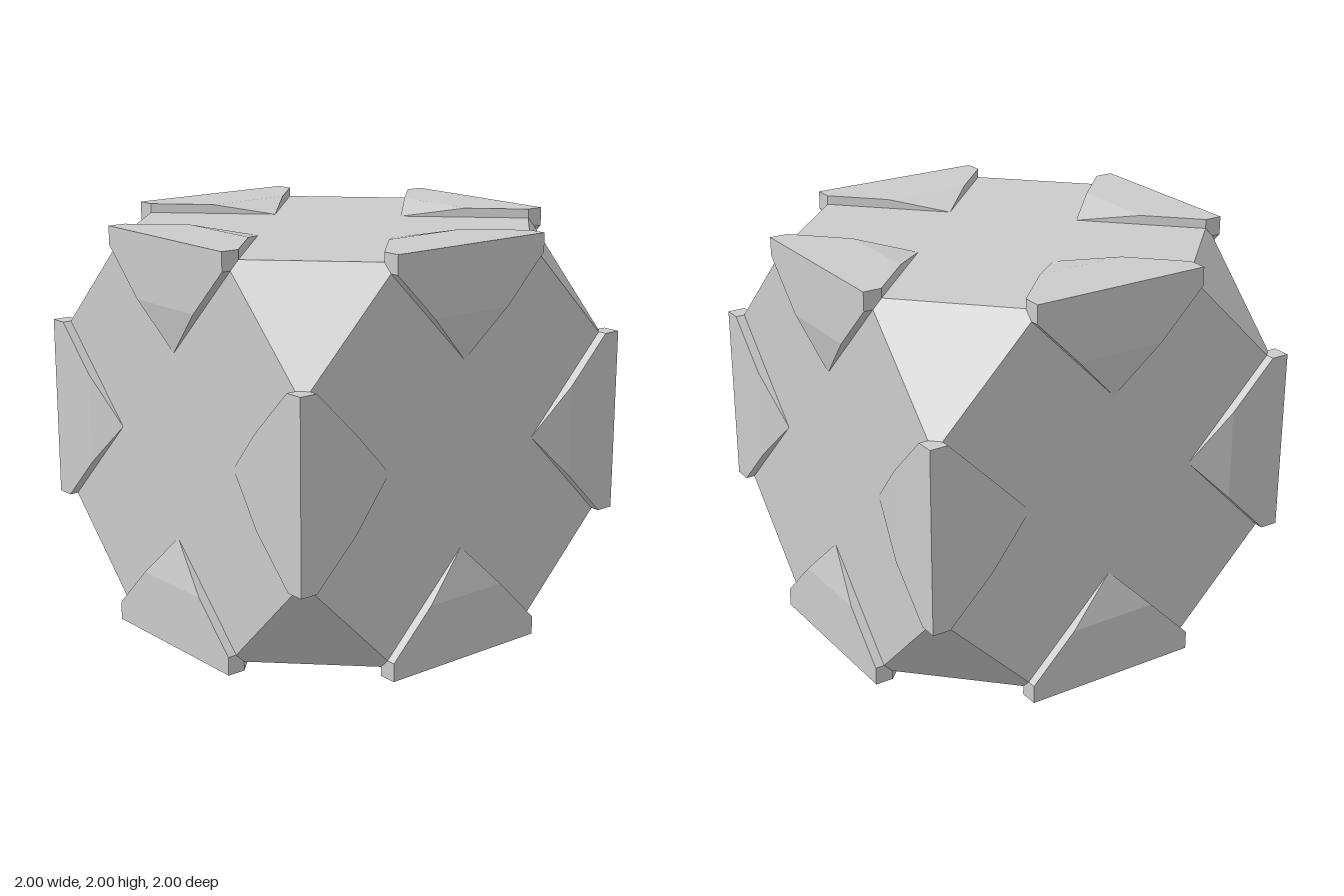
import * as THREE from 'three';
import { ConvexGeometry } from 'three/addons/geometries/ConvexGeometry.js';

const UNIT = 1 / 11; // the solid sits on an 11-step half-size grid

// Cube with its eight corners cut off
function coreGeometry() {
  const points = [];
  for (const a of [-1, 1]) for (const b of [-1, 1]) for (const c of [-1, 1]) {
    for (const [x, y, z] of [[4.5, 10.5, 10.5], [10.5, 4.5, 10.5], [10.5, 10.5, 4.5]]) {
      points.push(new THREE.Vector3(x * a, y * b, z * c).multiplyScalar(UNIT));
    }
  }
  return new ConvexGeometry(points);
}

// Raised guard folded over one cube edge, pointed on both faces
function guardGeometry() {
  const plate = [[-5, 10, 11], [-2.5, 7.5, 11], [2.5, 7.5, 11], [5, 10, 11], [5, 11, 11], [-5, 11, 11]];
  const ramp = [[0, 5, 10.5], [2.5, 7.5, 11], [-2.5, 7.5, 11]];
  const wall = [[2.5, 7.5, 11], [0, 5, 10.5], [5, 10, 10.5], [5, 10, 11]];
  const end = [[5, 11, 11], [5, 10, 11], [5, 10, 10.5], [5, 10.25, 10.25]];
  const mirrorX = (face) => face.map(([x, y, z]) => [-x, y, z]).reverse();
  const swapYZ = (face) => face.map(([x, y, z]) => [x, z, y]).reverse();

  const half = [plate, ramp, wall, end, mirrorX(wall), mirrorX(end)];
  const positions = [];
  for (const face of [...half, ...half.map(swapYZ)]) {
    for (let i = 1; i < face.length - 1; i++) {
      positions.push(...face[0], ...face[i], ...face[i + 1]);
    }
  }
  const geometry = new THREE.BufferGeometry();
  geometry.setAttribute('position', new THREE.Float32BufferAttribute(positions, 3));
  geometry.scale(UNIT, UNIT, UNIT);
  geometry.computeVertexNormals();
  return geometry;
}

export function createModel() {
  const model = new THREE.Group();
  model.name = 'cornerCutCube';
  const material = new THREE.MeshStandardMaterial({ color: 0xcccccc, flatShading: true });

  const core = new THREE.Mesh(coreGeometry(), material);
  core.name = 'core';
  core.position.y = 1;
  model.add(core);

  // Four guards around each axis, twelve in all
  const guard = guardGeometry();
  const axes = { X: [0, 0, 0], Y: [0, 0, Math.PI / 2], Z: [0, Math.PI / 2, 0] };
  for (const [axis, turn] of Object.entries(axes)) {
    const ring = new THREE.Group();
    ring.name = `edgeGuards${axis}`;
    ring.position.y = 1;
    ring.rotation.set(...turn);
    for (let i = 0; i < 4; i++) {
      const mesh = new THREE.Mesh(guard, material);
      mesh.name = 'edgeGuard';
      mesh.rotation.x = i * Math.PI / 2;
      ring.add(mesh);
    }
    model.add(ring);
  }
  return model;
}
